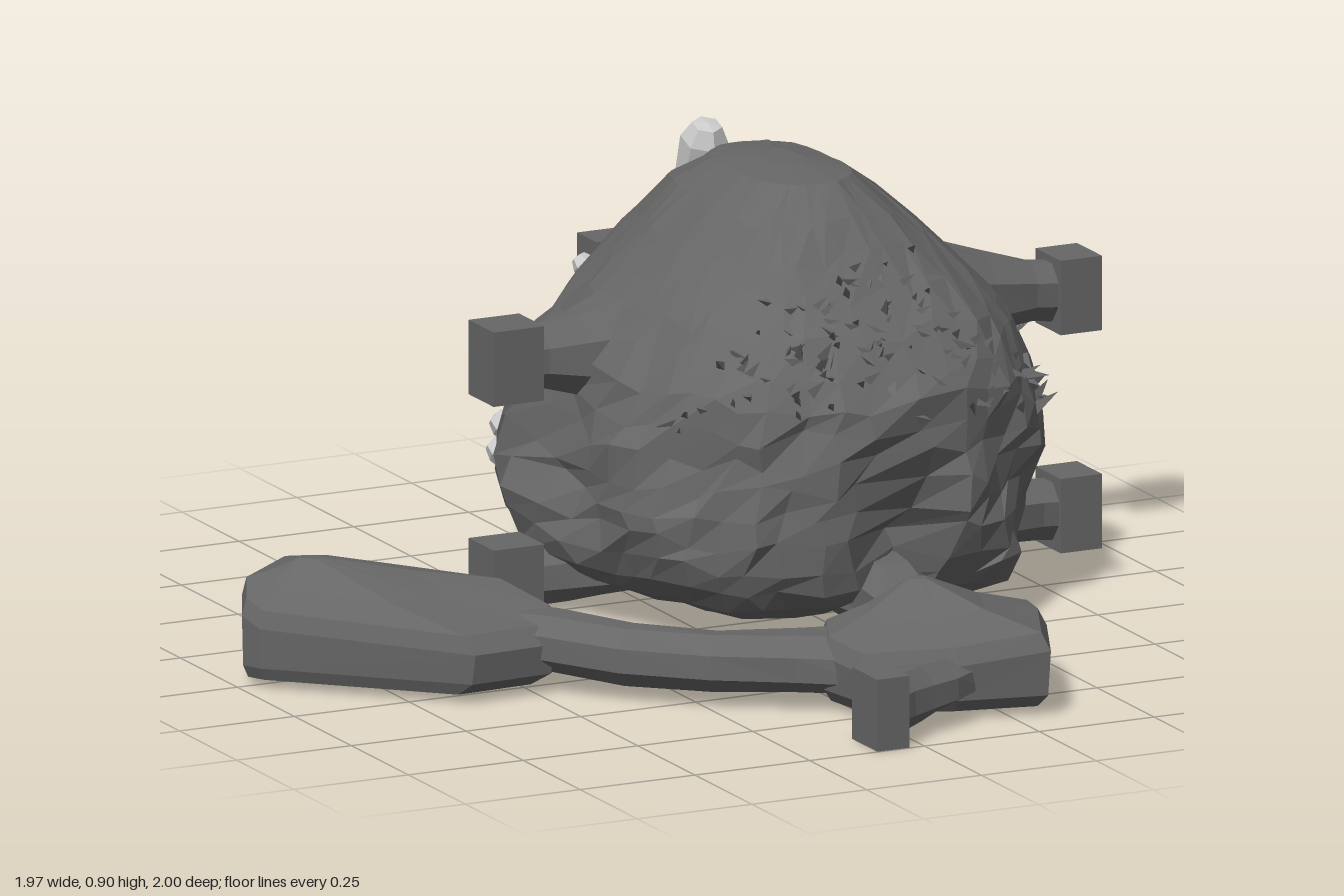
import * as THREE from 'three';

const V = (x, y, z) => new THREE.Vector3(x, y, z);
const lerp = THREE.MathUtils.lerp;
const stone = new THREE.MeshStandardMaterial({ color: 0x666666, flatShading: true });
const pale = new THREE.MeshStandardMaterial({ color: 0xcccccc, flatShading: true });

function seeded(seed) {
  return () => {
    seed = (seed * 16807) % 2147483647;
    return seed / 2147483647;
  };
}

function named(geometry, name, material = stone) {
  const mesh = new THREE.Mesh(geometry, material);
  mesh.name = name;
  return mesh;
}

// Skin a list of rings and close both ends
function loft(rings) {
  const n = rings[0].length, pos = [];
  const middle = (r) => r.reduce((s, p) => s.add(p), V(0, 0, 0)).divideScalar(n);
  const tri = (...pts) => pts.forEach((p) => pos.push(p.x, p.y, p.z));
  const last = rings[rings.length - 1], low = middle(rings[0]), high = middle(last);
  for (let i = 0; i < n; i++) {
    const j = (i + 1) % n;
    tri(low, rings[0][i], rings[0][j]);
    tri(high, last[j], last[i]);
    for (let k = 0; k < rings.length - 1; k++) {
      const a = rings[k], b = rings[k + 1];
      tri(a[i], b[i], a[j]);
      tri(a[j], b[i], b[j]);
    }
  }
  const g = new THREE.BufferGeometry();
  g.setAttribute('position', new THREE.Float32BufferAttribute(pos, 3));
  g.computeVertexNormals();
  return g;
}

// Boulder extents per height: y, xMin, xMax, zMin, zMax
const LEVELS = [
  [0.02, 0.08, 0.5, -0.5, 0.08], [0.05, -0.06, 0.64, -0.71, 0.2], [0.08, -0.14, 0.7, -0.79, 0.26],
  [0.13, -0.2, 0.72, -0.83, 0.3], [0.22, -0.22, 0.74, -0.85, 0.32], [0.32, -0.2, 0.75, -0.82, 0.32],
  [0.42, -0.17, 0.75, -0.78, 0.32], [0.5, -0.14, 0.73, -0.74, 0.31], [0.6, -0.07, 0.68, -0.67, 0.24],
  [0.7, 0.02, 0.59, -0.59, 0.13], [0.8, 0.11, 0.48, -0.5, 0.04], [0.86, 0.18, 0.4, -0.39, -0.03],
];

function boulderPoint(angle, y) {
  let k = 0;
  while (k < LEVELS.length - 2 && y > LEVELS[k + 1][0]) k++;
  const a = LEVELS[k], b = LEVELS[k + 1];
  const t = (y - a[0]) / (b[0] - a[0]);
  const [, x0, x1, z0, z1] = a.map((v, i) => lerp(v, b[i], t));
  const c = Math.cos(angle), s = Math.sin(angle);
  // Squarer at the front and higher up, rounder low at the back
  const e = s > 0 ? 0.78 : lerp(0.94, 0.82, Math.min(1, y / 0.45));
  const px = Math.sign(c) * Math.abs(c) ** e, pz = Math.sign(s) * Math.abs(s) ** e;
  // Broad lumps, stronger low down
  const rough = y < 0.5 ? 0.02 : 0.012;
  const bump = 1 + rough * (Math.sin(angle * 6 + Math.sin(y * 12) * 2) + Math.sin(angle * 9 - y * 16 + 1));
  const x = (x0 + x1) / 2 + px * bump * (x1 - x0) / 2;
  let z = (z0 + z1) / 2 + pz * bump * (z1 - z0) / 2;
  // Vertical hollow above the front passage
  if (s > 0 && y < 0.48) z -= 0.1 * Math.exp(-(((x - 0.3) / 0.06) ** 2)) * Math.min(1, (0.48 - y) * 8);
  return V(x, y, z);
}

function boulderGeometry() {
  const rand = seeded(41), rings = [], rows = 16, n = 42;
  for (let r = 0; r <= rows; r++) {
    const ring = [], y = 0.02 + 0.84 * (r / rows) ** 1.2;
    const loose = r > 0 && r < rows ? Math.min(0.036, y * 0.2) : 0;
    for (let i = 0; i < n; i++) {
      const dy = (rand() - 0.5) * loose;
      const p = boulderPoint(((i + (rand() - 0.5) * 0.6) / n) * Math.PI * 2, y + dy);
      const out = V(p.x - 0.27, 0, p.z + 0.27).normalize();
      ring.push(p.addScaledVector(out, (rand() - 0.5) * (y < 0.5 ? 0.024 : 0.012)));
    }
    rings.push(ring);
  }
  rings.push(rings[rows].map((p) => V(0.29 + (p.x - 0.29) * 0.35, 0.873, -0.21 + (p.z + 0.21) * 0.35)));
  return loft(rings);
}

// Low chamber: a plan outline [x, z, top height] with a bevelled edge and a peak
function chamber(outline, peak) {
  const [cx, py, cz] = peak;
  const ring = (scale, height) => outline.map(([x, z, top]) =>
    V(cx + (x - cx) * scale, height(top), cz + (z - cz) * scale));
  return loft([
    ring(0.9, () => 0.02), ring(0.98, () => 0.045), ring(1, (t) => t - 0.035),
    ring(0.93, (t) => t), ring(0.5, (t) => lerp(t, py, 0.4)), ring(0.08, () => py),
  ]);
}

// Passage through sections [x, y, z, halfWidth, halfHeight]
function passage(sections) {
  const rand = seeded(7), n = 8;
  return loft(sections.map(([x, y, z, w, h], k) => {
    const p = sections[Math.max(0, k - 1)], q = sections[Math.min(sections.length - 1, k + 1)];
    const side = V(p[2] - q[2], 0, q[0] - p[0]).normalize();
    return Array.from({ length: n }, (_, i) => {
      const a = ((i + 0.5) / n) * Math.PI * 2, wob = 1.04 + (rand() - 0.5) * 0.12;
      return V(x, y + Math.sin(a) * h * wob, z).addScaledVector(side, Math.cos(a) * w * wob);
    });
  }));
}

// Square exit block with a neck that flares back to a [halfWidth, halfHeight] end inside the rock
function exit(name, [x, y, z], from, size, [w, h]) {
  const g = new THREE.Group();
  g.name = name;
  const block = named(new THREE.BoxGeometry(...size), 'exitBlock');
  block.position.set(x, y, z);
  const at = (t, flare) => [
    lerp(x, from[0], t), lerp(y, from[1], t), lerp(z, from[2], t), lerp(0.048, w, flare), lerp(0.06, h, flare),
  ];
  g.add(block, named(passage([at(1, 1), at(0.65, 0.85), at(0.42, 0.4), at(0.2, 0), at(0, 0)]), 'exitNeck'));
  return g;
}

export function createModel() {
  const model = new THREE.Group();
  model.add(named(boulderGeometry(), 'boulder'));

  // Side chambers
  model.add(named(chamber([
    [-0.06, 0.67, 0.15], [0, 0.54, 0.15], [0.17, 0.5, 0.15], [0.28, 0.5, 0.15], [0.31, 0.57, 0.16],
    [0.43, 0.62, 0.16], [0.42, 0.69, 0.16], [0.32, 0.91, 0.17], [0.14, 0.87, 0.15], [-0.04, 0.79, 0.14],
  ], [0.16, 0.24, 0.64]), 'frontChamber'));
  model.add(named(chamber([
    [-0.99, 0, 0.18], [-0.95, -0.08, 0.2], [-0.8, -0.2, 0.2], [-0.72, -0.17, 0.2], [-0.46, 0.13, 0.19],
    [-0.41, 0.26, 0.16], [-0.47, 0.33, 0.14], [-0.65, 0.34, 0.14], [-0.97, 0.04, 0.16],
  ], [-0.84, 0.24, -0.03]), 'sideChamber'));

  // Passages between the chambers
  model.add(named(passage([
    [0.3, 0.1, 0.1, 0.1, 0.08], [0.29, 0.1, 0.28, 0.075, 0.07],
    [0.27, 0.09, 0.42, 0.058, 0.065], [0.23, 0.09, 0.56, 0.075, 0.065],
  ]), 'frontPassage'));
  model.add(named(passage([
    [0.05, 0.09, 0.66, 0.11, 0.06], [-0.08, 0.09, 0.6, 0.078, 0.06], [-0.22, 0.09, 0.525, 0.065, 0.058],
    [-0.35, 0.09, 0.41, 0.06, 0.058], [-0.45, 0.1, 0.28, 0.075, 0.06], [-0.54, 0.1, 0.19, 0.08, 0.06],
  ]), 'sidePassage'));

  // Exits, upper and lower on three sides, and one at the front
  const upperEnd = [0.11, 0.115], lowerEnd = [0.095, 0.065];
  const rightBlock = [0.11, 0.15, 0.11], leftBlock = [0.09, 0.15, 0.11], backBlock = [0.11, 0.14, 0.085];
  model.add(
    exit('upperRightExit', [-0.29, 0.52, -0.25], [0.06, 0.52, -0.26], rightBlock, upperEnd),
    exit('upperLeftExit', [0.935, 0.52, -0.25], [0.5, 0.55, -0.27], leftBlock, upperEnd),
    exit('upperBackExit', [0.29, 0.47, -0.955], [0.29, 0.5, -0.52], backBlock, upperEnd),
    exit('lowerRightExit', [-0.29, 0.08, -0.25], [0, 0.1, -0.25], rightBlock, lowerEnd),
    exit('lowerLeftExit', [0.935, 0.08, -0.25], [0.55, 0.1, -0.25], leftBlock, lowerEnd),
    exit('lowerBackExit', [0.29, 0.075, -0.955], [0.29, 0.1, -0.65], backBlock, lowerEnd),
    exit('frontExit', [-0.067, 0.075, 0.943], [0.16, 0.085, 0.79], [0.07, 0.145, 0.11], [0.08, 0.05]),
  );

  // Thorny shards clustered in an arch on the front slope
  const rand = seeded(99), up = V(0, 1, 0);
  const shardShape = new THREE.ConeGeometry(0.012, 0.05, 3);
  const shards = new THREE.Group();
  shards.name = 'shards';
  for (let i = 0; i < 110; i++) {
    const across = rand() + rand() - 1;
    const y = 0.62 - Math.abs(across) * 0.14 + (rand() + rand() + rand() - 1.5) * 0.13;
    const p = boulderPoint(Math.PI * (0.5 + across * 0.36), y);
    const dir = V((p.x - 0.27) * 0.8 + rand() - 0.5, rand() * 1.2 - 0.2, 0.7).normalize();
    const shard = named(shardShape, 'shard');
    shard.position.copy(p).addScaledVector(dir, 0.008);
    shard.quaternion.setFromUnitVectors(up, dir);
    shard.scale.setScalar(0.6 + rand() * 0.9);
    shards.add(shard);
  }
  model.add(shards);

  // Pale crystals on the top and back
  const crystalShape = new THREE.LatheGeometry(
    [[0, -0.1], [0.044, -0.1], [0.048, 0.05], [0.03, 0.085], [0, 0.09]].map(([r, h]) => new THREE.Vector2(r, h)), 6);
  const crystals = new THREE.Group();
  crystals.name = 'crystals';
  const addCrystal = (p, dir, scale) => {
    const crystal = named(crystalShape, 'crystal', pale);
    crystal.position.copy(p);
    crystal.quaternion.setFromUnitVectors(up, dir.normalize());
    crystal.scale.setScalar(scale);
    crystals.add(crystal);
  };
  addCrystal(V(0.23, 0.815, -0.445), V(0, 1, 0.35), 1);
  for (const [turn, y, scale] of [[1.28, 0.6, 0.5], [1.27, 0.44, 0.7], [1.22, 0.28, 0.6], [1.28, 0.2, 0.6]]) {
    const p = boulderPoint(Math.PI * turn, y);
    const dir = V(p.x - 0.27, 0.4, p.z + 0.27).normalize();
    addCrystal(p.addScaledVector(dir, -0.03), dir, scale);
  }
  model.add(crystals);
  return model;
}
